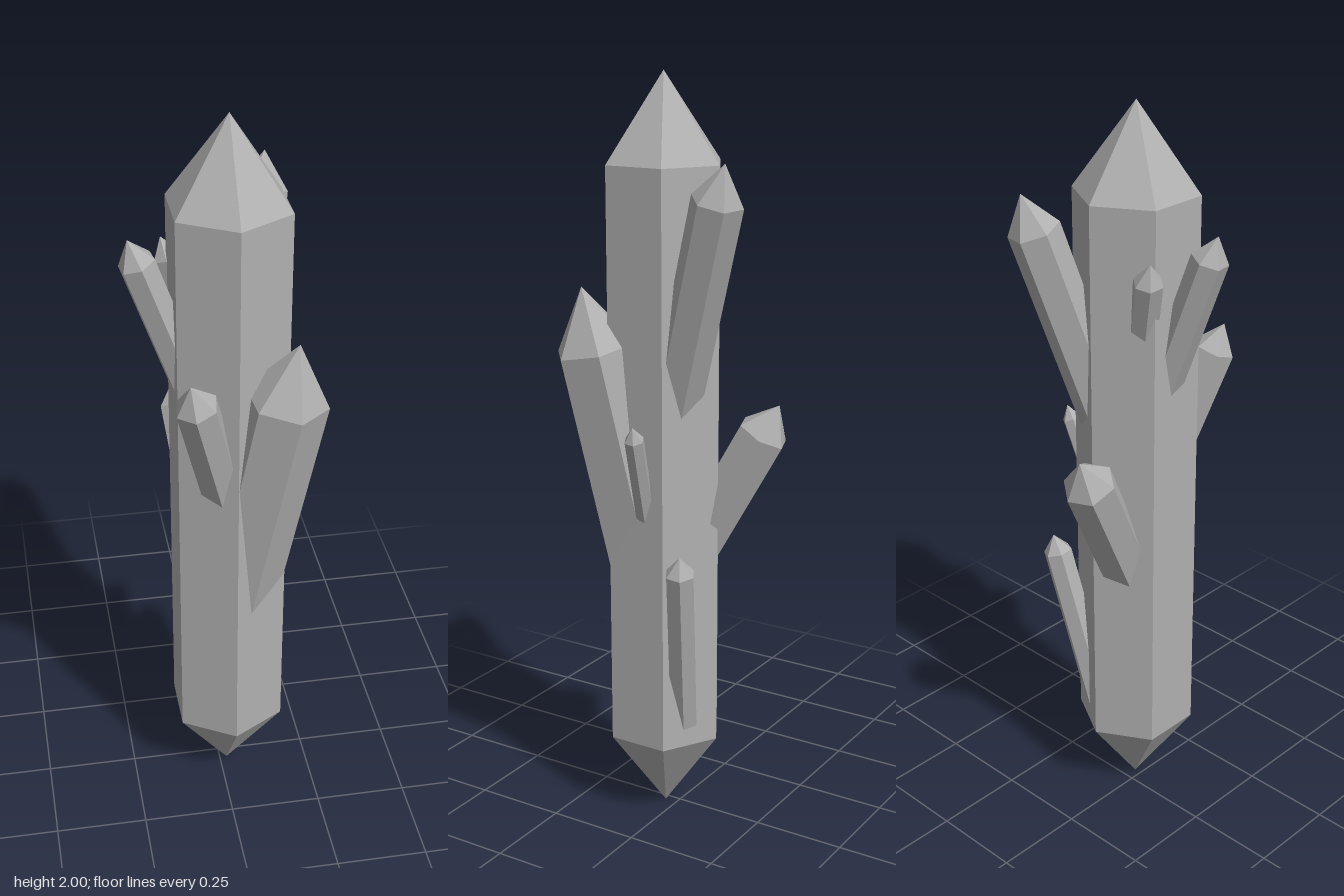
import * as THREE from 'three';

const stone = new THREE.MeshStandardMaterial({ color: 0xb0b0b0, flatShading: true });
stone.name = 'grey stone';

// Six-sided prism with pointed ends; profile is a list of [radius, height], bottom to top
function hexCrystal(name, profile) {
  const points = profile.map(([r, y]) => new THREE.Vector2(r, y));
  const geometry = new THREE.LatheGeometry(points, 6).toNonIndexed();
  geometry.computeVertexNormals();
  const mesh = new THREE.Mesh(geometry, stone);
  mesh.name = name;
  return mesh;
}

// Side crystal: centre of the shoulder ring, lean in x and z per unit of height,
// radius, tip height, depth of the buried base, and the top-view direction of one corner
function sideCrystal({ name, center, lean, r, tip, depth, corner }) {
  const rise = Math.hypot(lean[0], 1, lean[1]);
  const mesh = hexCrystal(name, [[0, -depth * rise], [r, -depth * rise], [r, 0], [0, tip * rise]]);
  const axis = new THREE.Vector3(lean[0], 1, lean[1]).normalize();
  const [dx, dz] = corner;
  const out = new THREE.Vector3(dx, -(dx * lean[0] + dz * lean[1]), dz).normalize();
  const side = new THREE.Vector3().crossVectors(axis, out);
  mesh.quaternion.setFromRotationMatrix(new THREE.Matrix4().makeBasis(side, axis, out));
  mesh.position.set(...center);
  return mesh;
}

const sides = [
  { name: 'frontLeftLargeCrystal', center: [0.144, 1.31, 0.166], lean: [0.152, 0.152], r: 0.109, tip: 0.158, depth: 0.71, corner: [0.016, 0.106] },
  { name: 'backLeftCrystal', center: [0.143, 1.705, -0.194], lean: [0.14, -0.305], r: 0.067, tip: 0.092, depth: 0.58, corner: [0.046, -0.045] },
  { name: 'backRightCrystal', center: [-0.057, 1.09, -0.218], lean: [-0.13, -0.53], r: 0.07, tip: 0.077, depth: 0.41, corner: [0.013, -0.058] },
  { name: 'rightCrystal', center: [-0.205, 1.65, 0.055], lean: [-0.35, 0.06], r: 0.048, tip: 0.062, depth: 0.5, corner: [0.007, 0.047] },
  { name: 'frontRightCrystal', center: [-0.089, 1.335, 0.214], lean: [-0.25, 0.29], r: 0.056, tip: 0.067, depth: 0.44, corner: [-0.008, 0.054] },
  { name: 'leftTinyCrystal', center: [0.222, 1.105, -0.002], lean: [0.36, -0.09], r: 0.026, tip: 0.036, depth: 0.35, corner: [-0.001, 0.023] },
  { name: 'lowerLeftCrystal', center: [0.177, 0.755, -0.109], lean: [0.22, -0.11], r: 0.04, tip: 0.047, depth: 0.49, corner: [0.036, -0.022] },
  { name: 'backRightSmallCrystal', center: [-0.115, 1.6, -0.065], lean: [-0.3, -0.2], r: 0.039, tip: 0.052, depth: 0.3, corner: [0.007, -0.039] },
];

export function createModel() {
  const model = new THREE.Group();
  model.name = 'crystalCluster';

  // Tall central column
  const column = hexCrystal('mainCrystal', [[0, 0], [0.163, 0.23], [0.163, 1.775], [0, 2]]);
  column.position.set(0.02, 0, 0.035);
  model.add(column);

  // Shards leaning out of the column
  for (const spec of sides) model.add(sideCrystal(spec));
  return model;
}
